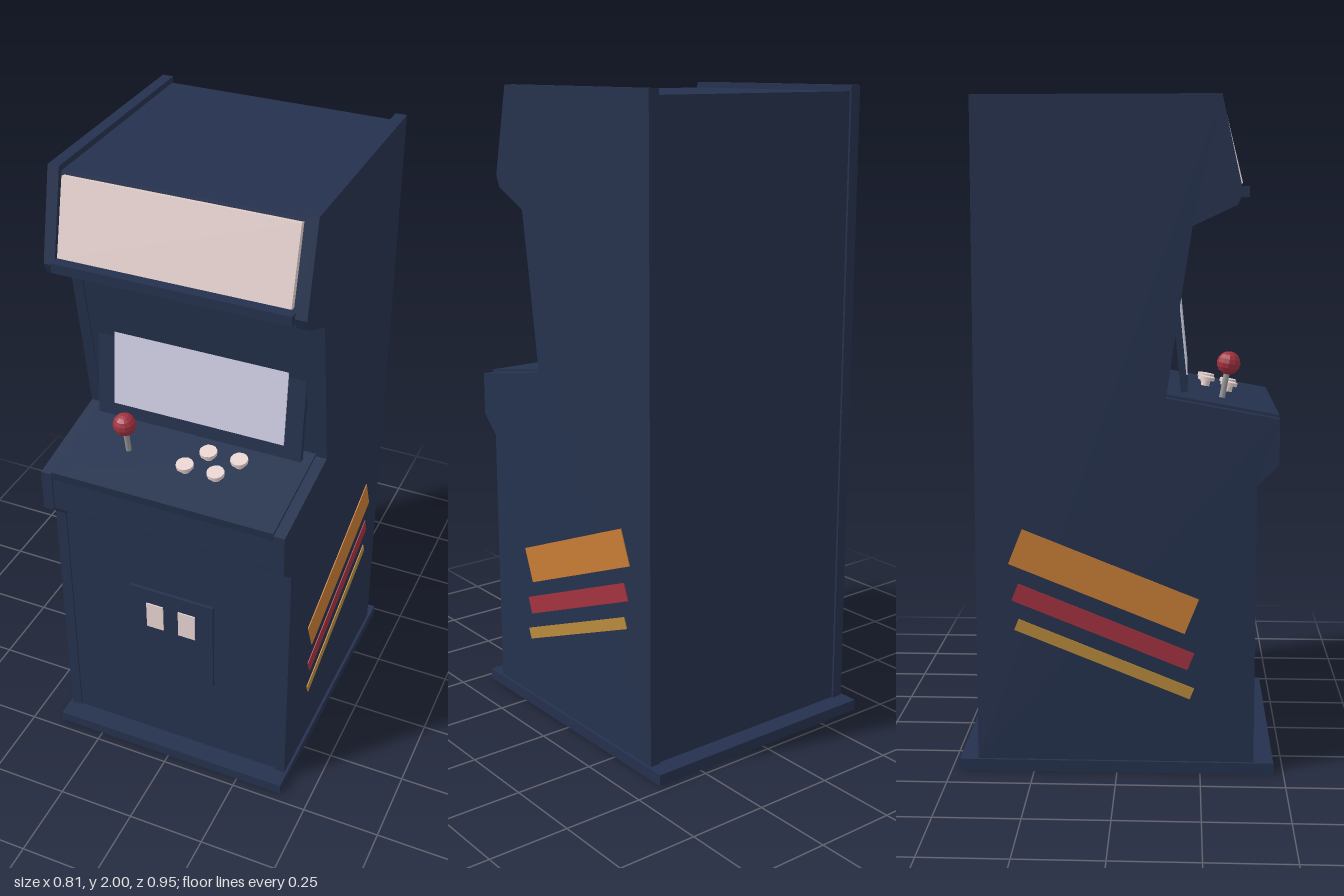
import * as THREE from 'three';

const paint = (name, color) => {
  const m = new THREE.MeshStandardMaterial({ color });
  m.name = name;
  return m;
};

export function createModel() {
  const navy = paint('navy cabinet', 0x25324e);
  const rose = paint('pale rose', 0xecd8d5);
  const glass = paint('lilac screen', 0xd2d0e6);
  const orange = paint('orange stripe', 0xc87d35);
  const red = paint('red', 0xa23240);
  const yellow = paint('yellow stripe', 0xb88b3b);
  const steel = paint('steel', 0x9a9a9e);

  const model = new THREE.Group();
  model.name = 'arcadeCabinet';

  const add = (name, geometry, material, x, y, z, parent = model, tilt = 0) => {
    const mesh = new THREE.Mesh(geometry, material);
    mesh.name = name;
    mesh.position.set(x, y, z);
    mesh.rotation.x = tilt;
    parent.add(mesh);
    return mesh;
  };
  const box = (w, h, d) => new THREE.BoxGeometry(w, h, d);

  // Extrudes a (z, y) outline across x, centred on its own width
  const slab = (outline, width) => {
    const shape = new THREE.Shape(outline.map(([z, y]) => new THREE.Vector2(z, y)));
    const g = new THREE.ExtrudeGeometry(shape, { depth: width, bevelEnabled: false });
    return g.translate(0, 0, -width / 2).rotateY(-Math.PI / 2);
  };

  // Base plinth
  add('base', box(0.808, 0.035, 0.945), navy, 0, 0.0175, -0.003);

  // Side panels
  const sideOutline = [
    [-0.42, 0.03], [0.41, 0.03], [0.41, 0.88], [0.474, 0.94], [0.474, 1.075],
    [0.143, 1.135], [0.18, 1.39], [0.217, 1.63], [0.345, 1.69], [0.36, 1.725],
    [0.298, 2], [-0.42, 2],
  ];
  for (const s of [1, -1]) {
    add(s > 0 ? 'leftSidePanel' : 'rightSidePanel', slab(sideOutline, 0.035), navy, s * 0.3775, 0, 0);
  }

  // Cabinet body between the side panels, slightly inset
  add('cabinetBody', slab([
    [-0.413, 0.03], [0.404, 0.03], [0.404, 0.883], [0.468, 0.943], [0.468, 1.06],
    [0.138, 1.12], [0.175, 1.39], [0.212, 1.635], [0.338, 1.695], [0.345, 1.725],
    [0.285, 1.982], [-0.413, 1.982],
  ], 0.722), navy, 0, 0, 0);

  // Lit marquee and the trim under it
  const marqueeTilt = -Math.atan2(0.056, 0.225);
  add('marquee', box(0.7, 0.232, 0.02), rose, 0, 1.862, 0.323, model, marqueeTilt);
  add('marqueeTrim', box(0.72, 0.03, 0.04), navy, 0, 1.728, 0.36);

  // Screen bezel leaning back into the cabinet
  const screen = new THREE.Group();
  screen.name = 'screenUnit';
  screen.position.set(0, 1.295, 0.181);
  screen.rotation.x = -0.102;
  model.add(screen);
  add('bezel', box(0.67, 0.3, 0.02), navy, 0, 0, 0, screen);
  add('screen', box(0.56, 0.25, 0.006), glass, 0, 0.02, 0.0115, screen);

  // Sloped control panel; its local origin is the rear top edge
  const controls = new THREE.Group();
  controls.name = 'controls';
  controls.position.set(0, 1.143, 0.142);
  controls.rotation.x = 0.177;
  model.add(controls);
  add('controlPanel', box(0.72, 0.03, 0.338), navy, 0, -0.015, 0.169, controls);

  // Joystick with a faceted ball
  add('joystickShaft', new THREE.CylinderGeometry(0.009, 0.009, 0.1, 10), steel, -0.18, 0.045, 0.172, controls);
  const ball = new THREE.SphereGeometry(0.036, 12, 8).toNonIndexed();
  ball.computeVertexNormals();
  add('joystickBall', ball, red, -0.18, 0.107, 0.172, controls);

  // Four buttons in two staggered rows
  const cap = new THREE.CylinderGeometry(0.027, 0.027, 0.012, 12);
  const stem = new THREE.CylinderGeometry(0.014, 0.014, 0.022, 10);
  [[0.02, 0.195], [0.065, 0.123], [0.12, 0.195], [0.165, 0.123]].forEach(([x, z]) => {
    add('buttonCap', cap, rose, x, 0.024, z, controls);
    add('buttonStem', stem, rose, x, 0.01, z, controls);
  });

  // Coin door with two slots
  add('coinDoor', box(0.287, 0.335, 0.012), navy, -0.002, 0.498, 0.408);
  for (const x of [-0.058, 0.052]) {
    add('coinSlot', box(0.058, 0.096, 0.006), rose, x, 0.563, 0.415);
  }

  // Slanted stripes on both sides
  const stripes = [
    ['orangeStripe', orange, 0.587, 0.113, -0.04],
    ['redStripe', red, 0.449, 0.055, -0.042],
    ['yellowStripe', yellow, 0.35, 0.036, -0.038],
  ];
  for (const s of [1, -1]) {
    for (const [name, material, y, height, z] of stripes) {
      add(name, box(0.006, height, 0.564), material, s * 0.395, y, z, model, 0.377);
    }
  }

  return model;
}
